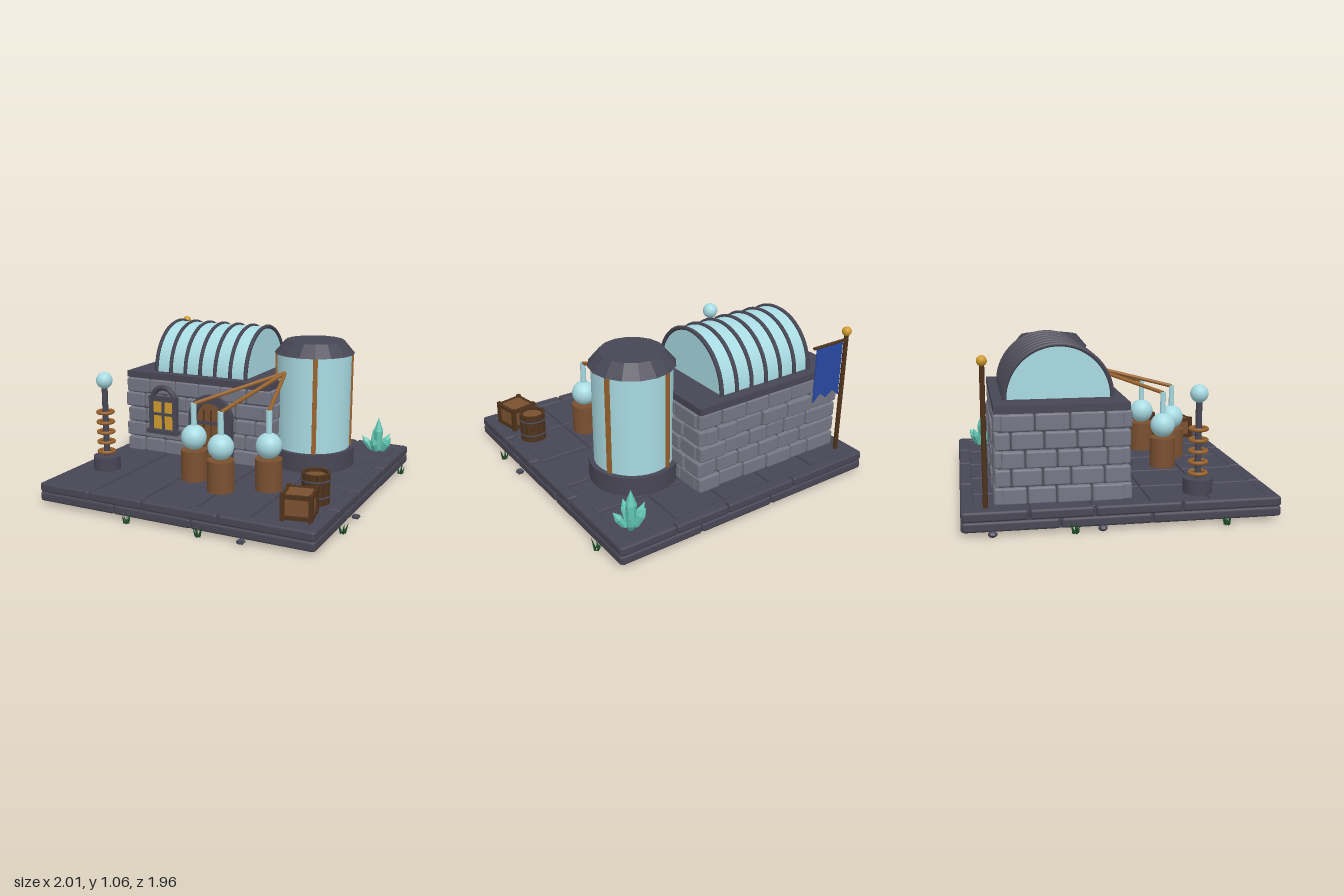
import * as THREE from 'three';
import { mergeGeometries } from 'three/addons/utils/BufferGeometryUtils.js';
import { RoundedBoxGeometry } from 'three/addons/geometries/RoundedBoxGeometry.js';

export function createModel() {
  const model = new THREE.Group();
  const paint = (name, color) => Object.assign(new THREE.MeshStandardMaterial({ color }), { name });
  const slate = paint('slate', 0x474654), stone = paint('stone', 0x747683), glass = paint('paleGlass', 0xa8dae2);
  const wood = paint('wood', 0x7a5030), darkWood = paint('darkWood', 0x4e321b), copper = paint('copper', 0x98622c);
  const gold = paint('gold', 0xcf9a2c), blue = paint('bannerBlue', 0x2748a0);
  const green = paint('grassGreen', 0x1f4a28), teal = paint('crystalTeal', 0x62c8b4);
  blue.side = THREE.DoubleSide;

  let seed = 7;
  const rand = () => (seed = (seed * 16807) % 2147483647) / 2147483647;
  const add = (name, geo, mat, x = 0, y = 0, z = 0, parent = model) => {
    const mesh = new THREE.Mesh(geo, mat);
    mesh.name = name;
    mesh.position.set(x, y, z);
    parent.add(mesh);
    return mesh;
  };
  const group = (name, x, y, z) => {
    const g = new THREE.Group();
    g.name = name;
    g.position.set(x, y, z);
    model.add(g);
    return g;
  };
  const flat = (geo) => {
    const g = geo.index ? geo.toNonIndexed() : geo;
    g.computeVertexNormals();
    return g;
  };
  const box = (w, h, d) => new THREE.BoxGeometry(w, h, d);
  const cyl = (r1, r2, h, n = 24) => new THREE.CylinderGeometry(r1, r2, h, n);
  // Bevelled block given by its lower and upper corners
  const block = (x0, x1, y0, y1, z0, z1, r = 0.012) =>
    new RoundedBoxGeometry(x1 - x0, y1 - y0, z1 - z0, 1, r).translate((x0 + x1) / 2, (y0 + y1) / 2, (z0 + z1) / 2);
  // Straight rod between two points
  const rod = (name, a, b, r, mat, parent = model) => {
    const from = new THREE.Vector3(...a), dir = new THREE.Vector3(...b).sub(from);
    const m = add(name, cyl(r, r, dir.length(), 10), mat, 0, 0, 0, parent);
    m.position.copy(from).addScaledVector(dir, 0.5);
    m.quaternion.setFromUnitVectors(new THREE.Vector3(0, 1, 0), dir.normalize());
    return m;
  };

  // Paved platform: core, floor tiles and two courses of edge stones
  const cz = -0.028;
  add('platformCore', box(1.86, 0.1, 1.86), slate, 0, 0.071, cz);
  const tiles = [], cuts = [-0.9, -0.557, -0.198, 0.16, 0.52, 0.9];
  for (let i = 0; i < 5; i++) for (let j = 0; j < 5; j++)
    tiles.push(block(cuts[i] + 0.006, cuts[i + 1] - 0.006, 0.06, 0.133, cuts[j] + 0.006 + cz, cuts[j + 1] - 0.006 + cz, 0.008));
  add('floorTiles', mergeGeometries(tiles), slate);
  const edge = [];
  [[0.02, 0.08, [-0.945, -0.38, 0.16, 0.945]], [0.08, 0.14, [-0.945, -0.56, -0.18, 0.34, 0.945]]].forEach(([y0, y1, c]) => {
    for (let side = 0; side < 4; side++) for (let i = 0; i + 1 < c.length; i++)
      edge.push(block(c[i] + 0.004, c[i + 1] - 0.004, y0, y1, 0.865, 0.948, 0.015).rotateY(side * Math.PI / 2).translate(0, 0, cz));
  });
  add('edgeStones', mergeGeometries(edge), slate);

  // House walls: dark core wrapped in staggered stone blocks
  add('wallCore', box(1.06, 0.54, 0.74), slate, -0.295, 0.41, -0.38);
  const bricks = [];
  const course = (len, row, place) => {
    let a = -len / 2, first = true;
    while (a < len / 2 - 0.01) {
      let w = first && row % 2 ? 0.1 : 0.14 + rand() * 0.07;
      if (len / 2 - a - w < 0.08) w = len / 2 - a;
      const y = 0.14 + row * 0.108;
      bricks.push(place(block(a + 0.004, a + w - 0.004, y + 0.004, y + 0.104, -0.05, rand() * 0.018)));
      a += w;
      first = false;
    }
  };
  for (let row = 0; row < 5; row++) {
    const k = (row % 2) * 0.08;
    course(1.12 - k, row, (g) => g.translate(-0.295, 0, 0.01));
    course(1.12 - k, row, (g) => g.rotateY(Math.PI).translate(-0.295, 0, -0.77));
    course(0.72 + k, row, (g) => g.rotateY(Math.PI / 2).translate(0.26, 0, -0.38));
    course(0.72 + k, row, (g) => g.rotateY(-Math.PI / 2).translate(-0.85, 0, -0.38));
  }
  add('wallStones', mergeGeometries(bricks), stone);
  add('roofSlab', box(1.115, 0.045, 0.79), slate, -0.295, 0.702, -0.38);

  // Glass barrel roof with seven ribs
  const vault = new THREE.CylinderGeometry(0.32, 0.32, 0.7, 32, 1, false, 0, Math.PI).rotateZ(Math.PI / 2);
  add('barrelRoof', vault, glass, -0.3, 0.724, -0.38);
  for (let i = 0; i < 7; i++) {
    const rib = new THREE.TorusGeometry(0.322, 0.014, 6, 28, Math.PI).rotateY(Math.PI / 2);
    add('roofRib', rib, slate, -0.648 + i * 0.1165, 0.724, -0.38);
  }

  // Arched doorway
  const archShape = (r, h) => {
    const s = new THREE.Shape();
    s.moveTo(-r, 0);
    s.lineTo(r, 0);
    s.lineTo(r, h);
    s.absarc(0, h, r, 0, Math.PI);
    return s;
  };
  const extrude = (s, depth) => new THREE.ExtrudeGeometry(s, { depth, bevelEnabled: false, curveSegments: 14 });
  const door = group('door', -0.165, 0.14, 0.015);
  const doorFrame = archShape(0.165, 0.315);
  doorFrame.holes.push(archShape(0.107, 0.315));
  add('doorFrame', extrude(doorFrame, 0.045), slate, 0, 0, 0, door);
  add('doorPanel', extrude(archShape(0.11, 0.315), 0.02), wood, 0, 0, 0, door);
  for (const x of [-0.055, 0, 0.055]) add('doorPlankGap', box(0.008, 0.36, 0.008), darkWood, x, 0.19, 0.02, door);
  for (const y of [0.08, 0.28]) add('doorStrap', box(0.21, 0.022, 0.01), slate, 0, y, 0.024, door);
  add('doorKnob', new THREE.SphereGeometry(0.014, 10, 8), gold, 0.075, 0.15, 0.035, door);

  // Arched window
  const win = group('window', -0.545, 0.3, 0.015);
  add('windowPane', box(0.17, 0.22, 0.025), gold, 0, 0.13, 0.008, win);
  for (const x of [-0.095, 0.095]) add('windowPost', box(0.03, 0.25, 0.04), slate, x, 0.145, 0.015, win);
  add('windowMullion', box(0.018, 0.22, 0.02), slate, 0, 0.13, 0.02, win);
  add('windowCrossbar', box(0.17, 0.018, 0.02), slate, 0, 0.14, 0.02, win);
  add('windowLintel', box(0.22, 0.035, 0.04), slate, 0, 0.25, 0.015, win);
  add('windowSill', box(0.25, 0.03, 0.06), slate, 0, 0.015, 0.022, win);
  add('windowArch', new THREE.TorusGeometry(0.09, 0.02, 6, 18, Math.PI), slate, 0, 0.24, 0.015, win);

  // Storage tank with copper straps
  const tank = group('tank', 0.445, 0, -0.32);
  add('tankFoot', cyl(0.285, 0.285, 0.125), slate, 0, 0.198, 0, tank);
  add('tankBody', cyl(0.252, 0.252, 0.66, 32), glass, 0, 0.58, 0, tank);
  add('tankCap', flat(cyl(0.2, 0.272, 0.085, 16)), slate, 0, 0.948, 0, tank);
  for (let i = 0; i < 4; i++) {
    const a = 1.176 + i * Math.PI / 2;
    add('tankStrap', box(0.02, 0.65, 0.03), copper, Math.cos(a) * 0.254, 0.582, Math.sin(a) * 0.254, tank).rotation.y = -a;
  }

  // Flasks on stands, each piped to the tank
  for (const [x, z] of [[-0.1, 0.39], [0.16, 0.515], [0.415, 0.355]]) {
    const flask = group('flask', x, 0, z);
    add('flaskStand', cyl(0.086, 0.086, 0.2), wood, 0, 0.237, 0, flask);
    add('flaskBulb', new THREE.SphereGeometry(0.083, 24, 16), glass, 0, 0.42, 0, flask);
    add('flaskNeck', cyl(0.019, 0.019, 0.16, 12), glass, 0, 0.565, 0, flask);
    rod('flaskPipe', [x, 0.64, z], [0.32, 0.79, -0.11], 0.013, copper);
  }

  // Coil tower
  const coil = group('coilTower', -0.742, 0, 0.453);
  add('coilFoot', cyl(0.09, 0.09, 0.09), slate, 0, 0.182, 0, coil);
  add('coilPole', cyl(0.02, 0.02, 0.48, 12), slate, 0, 0.46, 0, coil);
  add('coilOrb', new THREE.SphereGeometry(0.055, 20, 14), glass, 0, 0.745, 0, coil);
  for (let i = 0; i < 5; i++)
    add('coilRing', new THREE.TorusGeometry(0.051, 0.012, 8, 20).rotateX(Math.PI / 2), copper, 0, 0.258 + i * 0.068, 0, coil);

  // Banner with forked hem and sun badge
  const banner = group('banner', -0.84, 0, -0.832);
  add('bannerPole', cyl(0.015, 0.015, 0.83, 10), darkWood, 0, 0.55, 0, banner);
  add('bannerFinial', new THREE.SphereGeometry(0.031, 14, 10), gold, 0, 0.985, 0, banner);
  rod('bannerBar', [0, 0.93, 0], [0.275, 0.93, 0], 0.01, darkWood, banner);
  const cloth = new THREE.Shape([[0.03, 0.925], [0.25, 0.925], [0.25, 0.55], [0.195, 0.6], [0.14, 0.56], [0.085, 0.6], [0.03, 0.55]]
    .map((p) => new THREE.Vector2(...p)));
  add('bannerCloth', extrude(cloth, 0.008), blue, 0, 0, -0.004, banner);
  const sun = new THREE.Shape(Array.from({ length: 16 }, (_, i) => {
    const r = i % 2 ? 0.038 : 0.06;
    return new THREE.Vector2(Math.cos(i * Math.PI / 8) * r, Math.sin(i * Math.PI / 8) * r);
  }));
  add('bannerSun', extrude(sun, 0.006), gold, 0.14, 0.75, 0.004, banner);

  // Crate with dark edge battens
  const crate = group('crate', 0.77, 0.215, 0.71);
  crate.rotation.y = 0.19;
  add('crateBody', box(0.165, 0.14, 0.165), wood, 0, 0, 0, crate);
  for (const a of [-1, 1]) for (const b of [-1, 1]) {
    add('crateCorner', box(0.026, 0.165, 0.026), darkWood, a * 0.083, 0, b * 0.083, crate);
    add('crateRailX', box(0.165, 0.024, 0.02), darkWood, 0, a * 0.062, b * 0.083, crate);
    add('crateRailZ', box(0.02, 0.024, 0.165), darkWood, b * 0.083, a * 0.062, 0, crate);
  }

  // Open barrel made of staves
  const barrel = group('barrel', 0.77, 0.14, 0.455);
  add('barrelInside', cyl(0.076, 0.076, 0.17), wood, 0, 0.085, 0, barrel);
  for (let i = 0; i < 14; i++) {
    const a = i * Math.PI / 7;
    add('barrelStave', box(0.016, 0.19, 0.032), darkWood, Math.cos(a) * 0.077, 0.095, Math.sin(a) * 0.077, barrel).rotation.y = -a;
  }
  for (const y of [0.045, 0.145])
    add('barrelHoop', new THREE.TorusGeometry(0.085, 0.007, 6, 24).rotateX(Math.PI / 2), slate, 0, y, 0, barrel);

  // Crystal cluster: tilted pointed prisms
  const crystals = group('crystals', 0.77, 0.125, -0.8);
  const shard = flat(new THREE.LatheGeometry([[0, 0], [0.75, 0], [1, 0.6], [0, 1]].map((p) => new THREE.Vector2(...p)), 6));
  [[0, 0, 0.25, 0.035], [0.3, 0.6, 0.14, 0.026], [1.7, 0.6, 0.15, 0.028], [2.9, 0.65, 0.14, 0.026], [4, 0.45, 0.16, 0.026], [5.3, 0.6, 0.14, 0.026]]
    .forEach(([turn, tilt, h, r]) => {
      const c = add('crystal', shard, teal, Math.cos(turn) * tilt * 0.05, 0, Math.sin(turn) * tilt * 0.05, crystals);
      c.scale.set(r, h, r);
      c.rotation.set(0, -turn, -tilt, 'YXZ');
    });

  // Grass tufts and pebbles around the platform
  const blade = flat(new THREE.ConeGeometry(0.009, 0.06, 4).translate(0, 0.03, 0));
  for (const [x, z] of [[-0.975, -0.33], [-0.975, 0.57], [-0.26, 0.955], [0.23, 0.945], [0.97, 0.52], [0.965, -0.73]])
    for (let i = 0; i < 5; i++) {
      const a = i * 1.26 + x;
      const b = add('grassBlade', blade, green, x + Math.cos(a) * 0.012, 0, z + Math.sin(a) * 0.012);
      b.rotation.set(Math.sin(a) * 0.3, 0, -Math.cos(a) * 0.3);
      b.scale.y = 0.8 + rand() * 0.5;
    }
  for (const [x, z] of [[-0.972, -0.8], [-0.968, -0.17], [0.97, 0.275], [0.51, 0.945]])
    add('pebble', new THREE.DodecahedronGeometry(0.028), slate, x, 0.018, z).scale.y = 0.65;

  return model;
}
